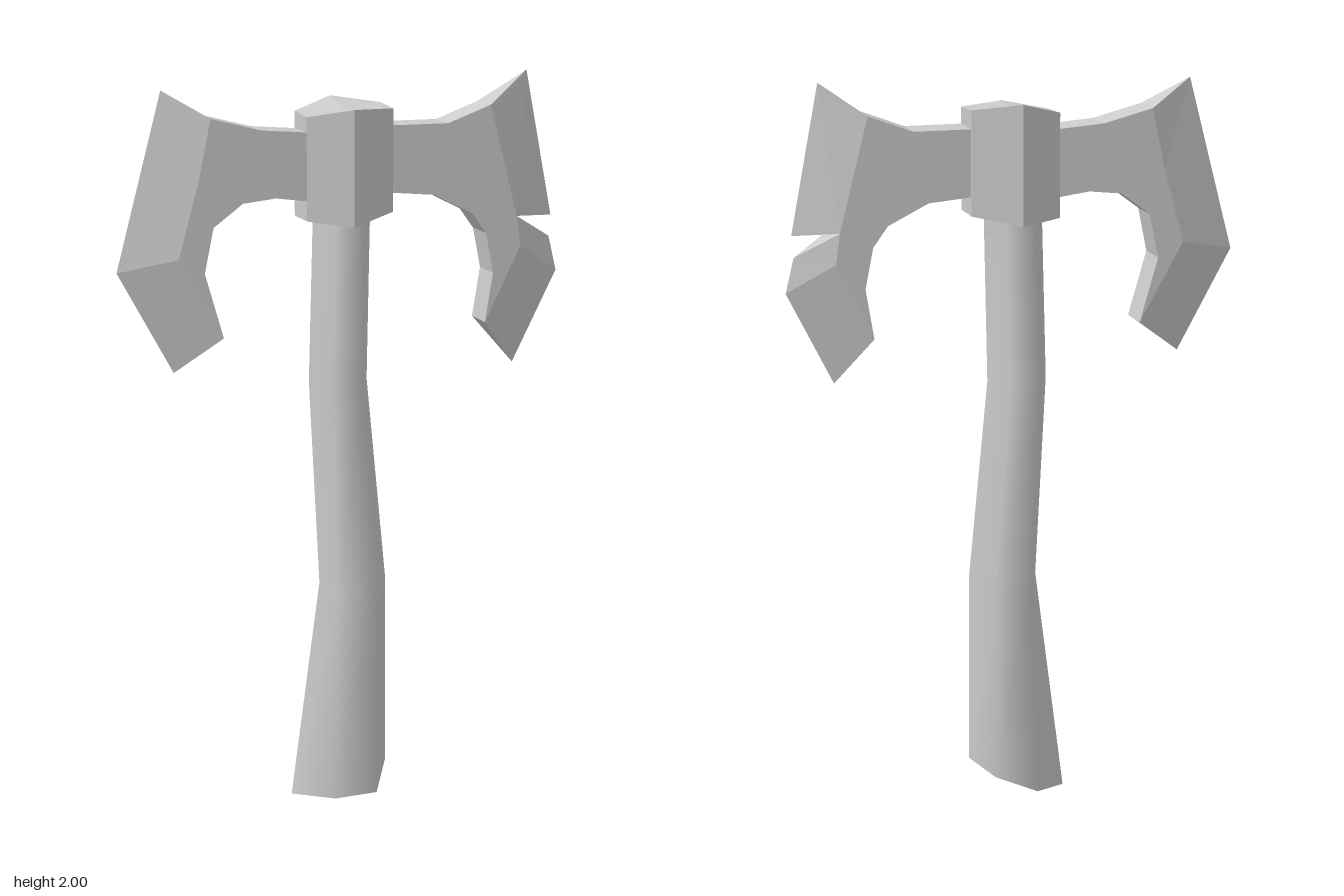
import * as THREE from 'three';

const material = () => new THREE.MeshStandardMaterial({ color: 0xcccccc });

function makeMesh(name, geometry) {
  geometry.computeVertexNormals();
  const mesh = new THREE.Mesh(geometry, material());
  mesh.name = name;
  return mesh;
}

// Closed loft through rings of [x, y, z] points, with separately shaded end caps
function loft(rings, flat) {
  const n = rings[0].length;
  const pos = rings.flat(2);
  const index = [];
  for (let i = 0; i < rings.length - 1; i++) {
    for (let k = 0; k < n; k++) {
      const a = i * n + k, b = i * n + (k + 1) % n;
      index.push(a, a + n, b, b, a + n, b + n);
    }
  }
  for (const [ring, up] of [[rings[0], false], [rings[rings.length - 1], true]]) {
    const base = pos.length / 3;
    pos.push(...ring.flat());
    for (let c = 0; c < 3; c++) pos.push(ring.reduce((s, p) => s + p[c], 0) / n);
    for (let k = 0; k < n; k++) {
      const a = base + k, b = base + (k + 1) % n;
      index.push(base + n, up ? b : a, up ? a : b);
    }
  }
  const geometry = new THREE.BufferGeometry();
  geometry.setAttribute('position', new THREE.Float32BufferAttribute(pos, 3));
  geometry.setIndex(index);
  return flat ? geometry.toNonIndexed() : geometry;
}

// Six-sided handle section
function hexRing(y, cx, rx, cz, rz) {
  return Array.from({ length: 6 }, (_, k) => {
    const a = k * Math.PI / 3;
    return [cx + rx * Math.cos(a), y, cz + rz * Math.sin(a)];
  });
}

// Plate of constant thickness whose ridge bevels down to a sharp edge at z = 0.
// outline and bevels index into plate points followed by edge points.
function bladeGeometry(plate, edge, outline, bevels, t = 0.05) {
  const points = [...plate, ...edge];
  const at = (i, side) => new THREE.Vector3(points[i][0], points[i][1], i < plate.length ? side * t : 0);
  const pos = [];
  const tri = (a, b, c) => {
    const normal = b.clone().sub(a).cross(c.clone().sub(a));
    if (normal.length() > 1e-7) for (const p of [a, b, c]) pos.push(p.x, p.y, p.z);
  };
  // Front and back faces
  const contour = plate.map(p => new THREE.Vector2(...p));
  for (let [a, b, c] of [...THREE.ShapeUtils.triangulateShape(contour, []), ...bevels]) {
    const [A, B, C] = [a, b, c].map(i => points[i]);
    if ((B[0] - A[0]) * (C[1] - A[1]) - (B[1] - A[1]) * (C[0] - A[0]) < 0) [b, c] = [c, b];
    tri(at(a, 1), at(b, 1), at(c, 1));
    tri(at(a, -1), at(c, -1), at(b, -1));
  }
  // Side walls, tapering to triangles where they meet the edge
  outline.forEach((a, k) => {
    const b = outline[(k + 1) % outline.length];
    tri(at(a, 1), at(a, -1), at(b, -1));
    tri(at(a, 1), at(b, -1), at(b, 1));
  });
  const geometry = new THREE.BufferGeometry();
  geometry.setAttribute('position', new THREE.Float32BufferAttribute(pos, 3));
  return geometry;
}

export function createModel() {
  const group = new THREE.Group();
  group.name = 'doubleAxe';

  // Bent handle with a slanted, flared butt
  group.add(makeMesh('handle', loft([
    [[0.12, 0.09, 0.015], [0.06, 0.035, 0.12], [-0.06, 0.03, 0.12],
      [-0.14, 0, -0.03], [-0.04, 0.025, -0.12], [0.08, 0.08, -0.12]],
    [[0.12, 0.62, 0.01], [0.065, 0.62, 0.12], [-0.055, 0.62, 0.12],
      [-0.07, 0.62, 0.01], [-0.03, 0.62, -0.1], [0.075, 0.62, -0.1]],
    hexRing(1.18, -0.012, 0.082, -0.005, 0.1),
    hexRing(1.7, 0, 0.08, -0.005, 0.09),
  ], false)));

  // Collar clamping the head, pointed to front and back
  const collarPlan = [
    // x, z, bottom y, top y
    [0.125, -0.055, 1.64, 1.92], [0.125, 0.05, 1.64, 1.915], [0, 0.1, 1.61, 1.92],
    [-0.115, 0.05, 1.625, 1.9], [-0.115, -0.06, 1.625, 1.905], [0, -0.11, 1.615, 1.937],
  ];
  group.add(makeMesh('collar', loft([2, 3].map(h => collarPlan.map(p => [p[0], p[h], p[1]])), true)));

  // Left blade, with a notch in its cutting edge
  group.add(makeMesh('leftBlade', bladeGeometry(
    [[0.05, 1.69], [0.13, 1.69], [0.24, 1.68], [0.35, 1.625], [0.39, 1.57], [0.412, 1.46], [0.39, 1.325],
      [0.49, 1.53], [0.478, 1.612], [0.4, 1.915], [0.28, 1.87], [0.05, 1.87]],
    [[0.49, 1.2], [0.615, 1.45], [0.592, 1.545], [0.597, 1.603], [0.52, 2]],
    [0, 1, 2, 3, 4, 5, 6, 12, 13, 14, 8, 15, 16, 9, 10, 11],
    [[6, 12, 7], [12, 13, 7], [7, 13, 14], [7, 14, 8], [8, 15, 16], [8, 16, 9]])));

  // Right blade, with an unbroken edge
  group.add(makeMesh('rightBlade', bladeGeometry(
    [[-0.05, 1.855], [-0.24, 1.87], [-0.375, 1.905], [-0.41, 1.74], [-0.465, 1.54], [-0.345, 1.325],
      [-0.395, 1.5], [-0.37, 1.62], [-0.29, 1.68], [-0.2, 1.69], [-0.05, 1.67]],
    [[-0.495, 1.977], [-0.62, 1.505], [-0.47, 1.23]],
    [0, 1, 2, 11, 12, 13, 5, 6, 7, 8, 9, 10],
    [[2, 11, 3], [3, 11, 12], [3, 12, 4], [4, 12, 13], [4, 13, 5]])));

  return group;
}
